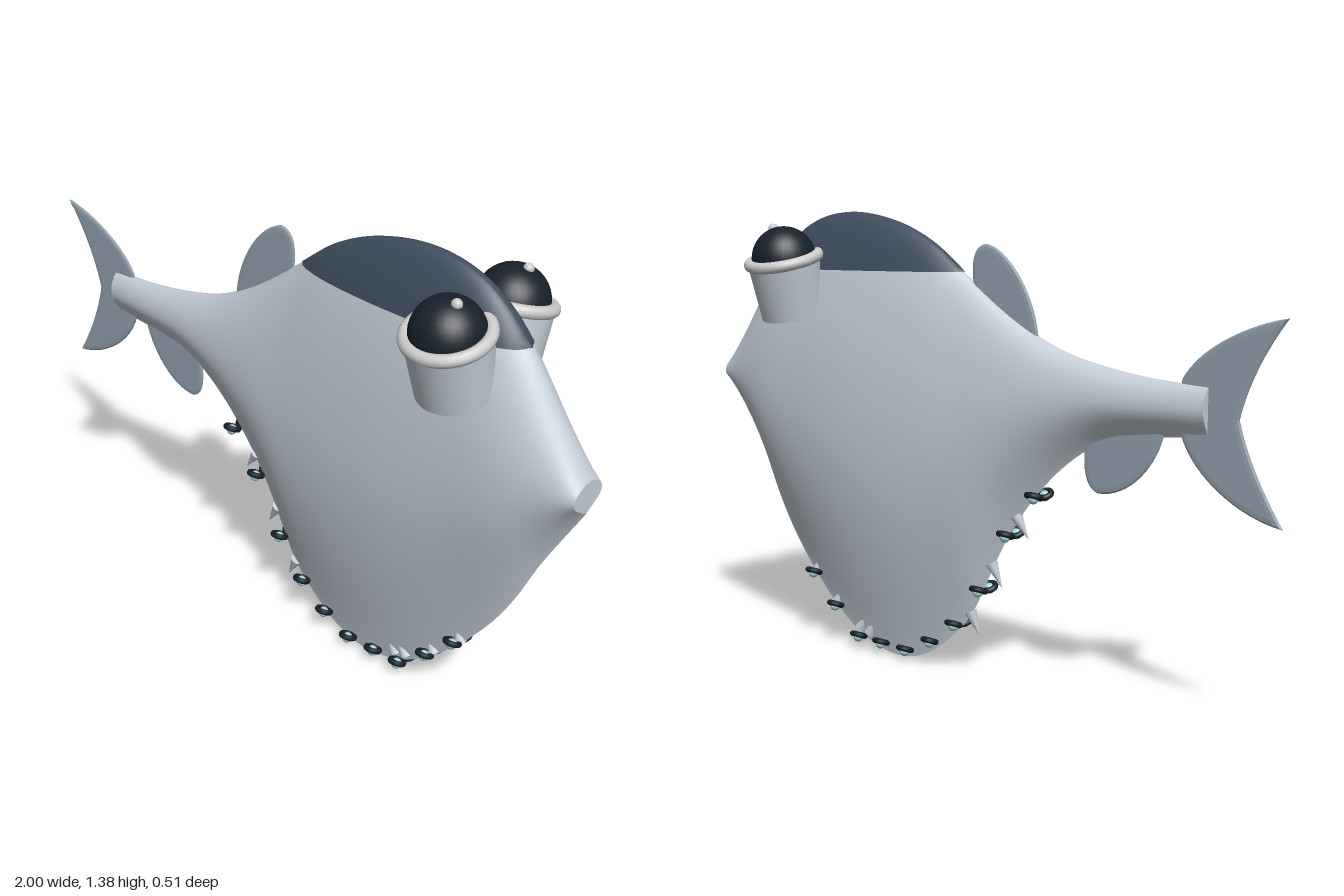
import * as THREE from 'three';

const paint = (color, side = THREE.FrontSide) => new THREE.MeshStandardMaterial({ color, side });
const silver = paint(0xc4ced8), slate = paint(0x3f4d5e), finGrey = paint(0x93a3b0, THREE.DoubleSide);
const dark = paint(0x17212a), glow = paint(0x9fdcda), pale = paint(0xcccccc);

function add(parent, name, geometry, material) {
  const mesh = new THREE.Mesh(geometry, material);
  mesh.name = name;
  parent.add(mesh);
  return mesh;
}

// Smooth curve through [x, value] pairs
function curve(points) {
  const c = new THREE.CubicInterpolant(points.map(p => p[0]), points.map(p => p[1]), 1);
  return x => c.evaluate(x)[0];
}

// Body outline: back, keel and half width along the length
const back = curve([[-0.78, 0.925], [-0.6, 0.937], [-0.45, 0.96], [-0.3, 1.0], [-0.15, 1.075], [0.03, 1.2],
  [0.15, 1.287], [0.3, 1.35], [0.5, 1.375], [0.65, 1.337], [0.73, 1.28], [0.8, 1.2], [0.9, 1.05], [1, 0.905]]);
const keel = curve([[-0.78, 0.79], [-0.6, 0.775], [-0.45, 0.745], [-0.33, 0.67], [-0.22, 0.56], [-0.12, 0.42],
  [-0.05, 0.285], [0, 0.19], [0.1, 0.085], [0.2, 0.02], [0.3, 0], [0.44, 0.035], [0.55, 0.11], [0.64, 0.2],
  [0.75, 0.34], [0.82, 0.46], [0.88, 0.59], [1, 0.81]]);
const halfWidth = curve([[-0.78, 0.032], [-0.4, 0.06], [0, 0.097], [0.2, 0.115], [0.4, 0.125], [0.6, 0.122],
  [0.8, 0.108], [1, 0.062]]);

// Section: sharp keel below, rounded back above
function section(s) {
  if (s < 0.54) return Math.sin(Math.PI / 2 * s / 0.54) ** 1.15;
  return Math.max(0, 1 - ((s - 0.54) / 0.46) ** 2) ** 0.6;
}

// Skin between x0 and x1, from height floorY (or the keel) up to the back
function skin(x0, x1, floorY, offset, rings, closed) {
  const N = 24, cols = 2 * N + 1, pos = [], idx = [];
  for (let i = 0; i <= rings; i++) {
    const x = x0 + (x1 - x0) * i / rings, lo = keel(x), hi = back(x);
    const s0 = Math.min(1, Math.max(0, (floorY - lo) / (hi - lo)));
    for (let j = -N; j <= N; j++) {
      const s = s0 + (1 - s0) * (0.5 + 0.5 * Math.cos(Math.PI * j / N));
      const w = section(s) * halfWidth(x);
      pos.push(x, lo + (hi - lo) * s + offset * s, Math.sign(j) * (w + (w > 0.001 ? offset : 0)));
      if (i < rings && j < N) {
        const a = i * cols + j + N, c = a + cols;
        idx.push(a, a + 1, c, a + 1, c + 1, c);
      }
    }
  }
  // Flat ends at the mouth and tail root
  if (closed) for (const ring of [0, rings]) {
    const start = pos.length / 3, x = ring ? x1 : x0;
    pos.push(...pos.slice(ring * cols * 3, (ring + 1) * cols * 3), x, (keel(x) + back(x)) / 2, 0);
    for (let j = 0; j < cols - 1; j++) {
      const a = start + j;
      idx.push(start + cols, ...(ring ? [a, a + 1] : [a + 1, a]));
    }
  }
  const g = new THREE.BufferGeometry();
  g.setAttribute('position', new THREE.Float32BufferAttribute(pos, 3));
  g.setIndex(idx);
  g.computeVertexNormals();
  return g;
}

// Thin fin with a soft bevelled edge
function fin(parent, name, draw) {
  const shape = new THREE.Shape();
  draw(shape);
  const g = new THREE.ExtrudeGeometry(shape, { depth: 0.004, bevelThickness: 0.004, bevelSize: 0.015,
    bevelOffset: -0.015, bevelSegments: 2, curveSegments: 16 });
  g.translate(0, 0, -0.002);
  add(parent, name, g, finGrey);
}

// Upturned tubular eye, tilted outwards
function eye(side) {
  const g = new THREE.Group();
  g.name = side > 0 ? 'leftEye' : 'rightEye';
  g.position.set(0.64, 1.235, side * 0.132);
  const tilted = new THREE.Group();
  tilted.name = 'eyeTube';
  tilted.rotation.x = side * 0.26;
  g.add(tilted);
  add(tilted, 'eyeCup', new THREE.CylinderGeometry(0.114, 0.106, 0.175, 32), silver).position.y = -0.0875;
  add(tilted, 'eyeRim', new THREE.TorusGeometry(0.108, 0.018, 12, 40), pale).rotation.x = Math.PI / 2;
  add(g, 'eyeball', new THREE.SphereGeometry(0.1, 32, 20), dark);
  add(g, 'eyeGlint', new THREE.SphereGeometry(0.015, 14, 10), pale).position.set(0.032, 0.093, side * 0.014);
  return g;
}

export function createModel() {
  const fish = new THREE.Group();
  fish.name = 'hatchetFish';
  add(fish, 'body', skin(-0.78, 1, 0, 0, 72, true), silver);
  add(fish, 'darkBack', skin(0.03, 0.8, 1.2, 0.003, 40, false), slate);

  fin(fish, 'tailFin', s => {
    s.moveTo(-0.998, 1.11);
    s.bezierCurveTo(-0.9, 1.095, -0.75, 1.03, -0.7, 0.94);
    s.lineTo(-0.69, 0.86);
    s.lineTo(-0.7, 0.79);
    s.bezierCurveTo(-0.74, 0.68, -0.88, 0.59, -0.998, 0.575);
    s.quadraticCurveTo(-0.9, 0.72, -0.868, 0.845);
    s.quadraticCurveTo(-0.9, 0.98, -0.998, 1.11);
  });
  fin(fish, 'dorsalFin', s => {
    s.moveTo(-0.235, 1.0);
    s.bezierCurveTo(-0.23, 1.14, -0.13, 1.27, -0.05, 1.285);
    s.bezierCurveTo(0.01, 1.28, 0.005, 1.2, -0.01, 1.14);
    s.lineTo(-0.08, 1.0);
  });
  fin(fish, 'analFin', s => {
    s.moveTo(-0.65, 0.8);
    s.bezierCurveTo(-0.63, 0.7, -0.54, 0.6, -0.44, 0.605);
    s.bezierCurveTo(-0.39, 0.62, -0.39, 0.7, -0.4, 0.74);
    s.lineTo(-0.45, 0.82);
  });

  // Light organs along both sides of the keel
  const lights = [[-0.24, 0.575], [-0.14, 0.45], [-0.04, 0.27], [0.055, 0.15], [0.15, 0.08],
    [0.25, 0.035], [0.35, 0.04], [0.445, 0.045], [0.545, 0.13], [0.64, 0.225]];
  for (const side of [1, -1]) {
    fish.add(eye(side));
    for (const [x, y] of lights) {
      const organ = new THREE.Group();
      organ.name = 'lightOrgan';
      organ.position.set(x, y, side * 0.026);
      organ.rotation.x = -side * 0.4;
      fish.add(organ);
      add(organ, 'lightSocket', new THREE.TorusGeometry(0.02, 0.009, 8, 18), dark).rotation.x = Math.PI / 2;
      add(organ, 'lightBead', new THREE.SphereGeometry(0.016, 14, 10), glow).position.y = -0.006;
    }
  }

  // Keel spines: [base x, base y, tip x, tip y]
  const spines = [[-0.16, 0.505, -0.205, 0.44], [-0.07, 0.35, -0.11, 0.28], [0.01, 0.19, -0.025, 0.12],
    [0.42, 0.05, 0.37, 0.13], [0.46, 0.06, 0.41, 0.13], [0.56, 0.13, 0.53, 0.19], [0.65, 0.22, 0.63, 0.28]];
  const up = new THREE.Vector3(0, 1, 0);
  for (const [bx, by, tx, ty] of spines) {
    const dir = new THREE.Vector3(tx - bx, ty - by, 0), length = dir.length();
    const spine = add(fish, 'keelSpine', new THREE.ConeGeometry(0.019, length, 10), silver);
    spine.position.set((bx + tx) / 2, (by + ty) / 2, 0);
    spine.quaternion.setFromUnitVectors(up, dir.normalize());
  }
  return fish;
}
